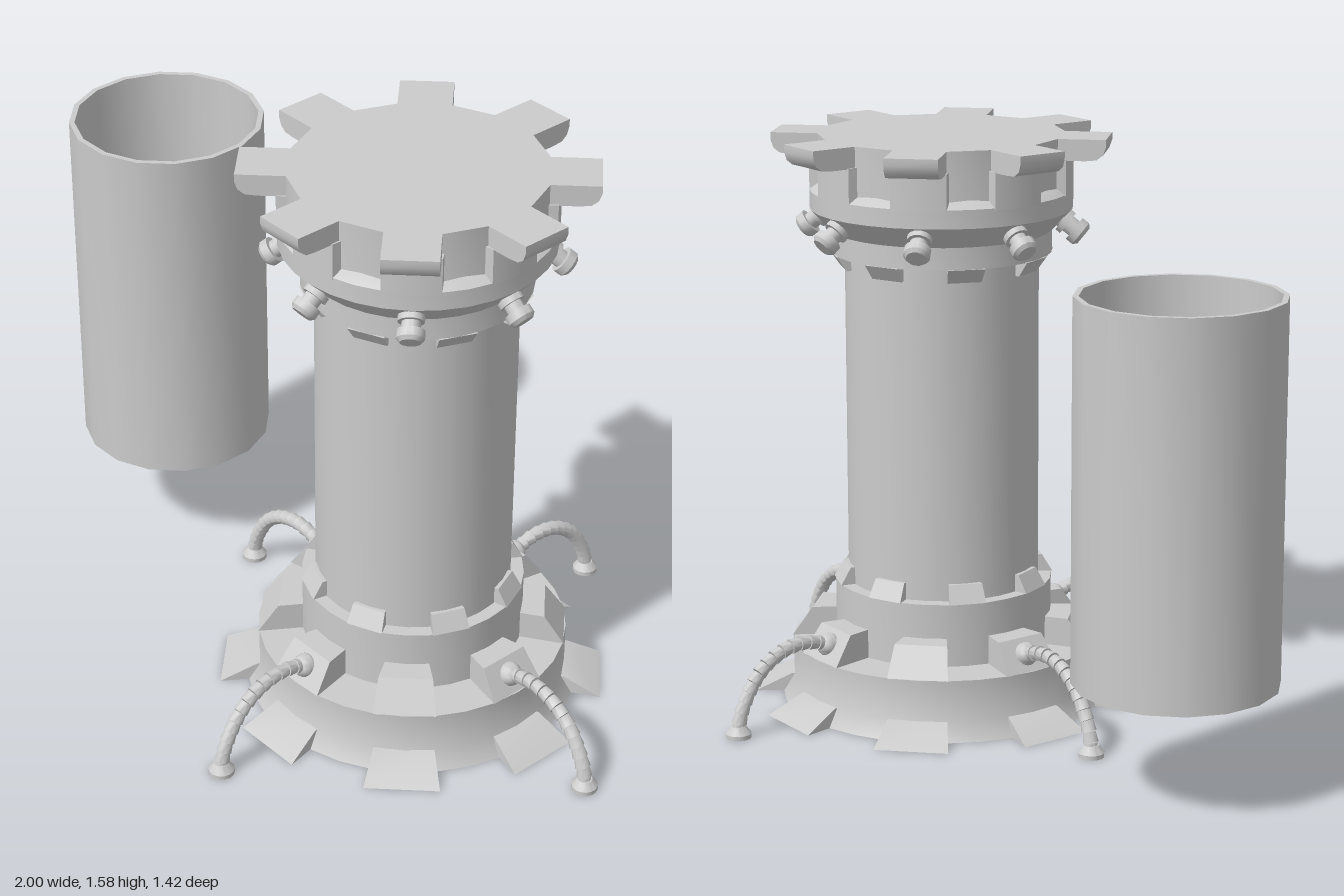
import * as THREE from 'three';
import { toCreasedNormals } from 'three/addons/utils/BufferGeometryUtils.js';

const material = new THREE.MeshStandardMaterial({ color: 0xcccccc });

function addMesh(parent, name, geometry) {
  const mesh = new THREE.Mesh(toCreasedNormals(geometry, Math.PI / 5), material);
  mesh.name = name;
  parent.add(mesh);
  return mesh;
}

const points = (list) => list.map(([x, y]) => new THREE.Vector2(x, y));

// Solid of revolution, profile given from bottom to top as [radius, height]
const turned = (profile, sides = 32, start = 0) =>
  new THREE.LatheGeometry(points(profile), sides, start);

// Radial block: side profile [radius, height], with half width set per radius
function radialBlock(profile, halfWidth) {
  const geo = new THREE.ExtrudeGeometry(new THREE.Shape(points(profile)), { depth: 2, bevelEnabled: false });
  geo.translate(0, 0, -1);
  const pos = geo.attributes.position;
  for (let i = 0; i < pos.count; i++) pos.setZ(i, pos.getZ(i) * halfWidth(pos.getX(i)));
  return geo;
}

// Repeats a geometry around the tower axis
function ring(parent, name, geometry, count = 8, offset = 0) {
  for (let i = 0; i < count; i++) {
    addMesh(parent, name, geometry).rotation.y = ((i + offset) / count) * Math.PI * 2;
  }
}

// Cylinder running between two points
function rod(parent, name, from, to, r0, r1, sides = 12) {
  const dir = to.clone().sub(from);
  const mesh = addMesh(parent, name, new THREE.CylinderGeometry(r1, r0, dir.length(), sides));
  mesh.position.copy(from).addScaledVector(dir, 0.5);
  mesh.quaternion.setFromUnitVectors(new THREE.Vector3(0, 1, 0), dir.normalize());
}

function createHose() {
  const hose = new THREE.Group();
  hose.name = 'hose';
  const curve = new THREE.CatmullRomCurve3(
    [[0.34, 0.19], [0.4, 0.212], [0.47, 0.226], [0.54, 0.213], [0.605, 0.17], [0.65, 0.105], [0.672, 0.05], [0.677, 0.01]]
      .map(([x, y]) => new THREE.Vector3(x, y, 0)));
  // Ribbed segments, each flaring slightly
  const steps = 16;
  for (let i = 0; i < steps; i++) {
    rod(hose, 'hoseSegment', curve.getPointAt(i / steps), curve.getPointAt((i + 1) / steps), 0.017, 0.021);
  }
  const socket = addMesh(hose, 'hoseSocket', new THREE.SphereGeometry(0.033, 14, 10));
  socket.position.set(0.385, 0.205, 0);
  const foot = addMesh(hose, 'hoseFoot', turned([[0, 0], [0.035, 0], [0.035, 0.012], [0.02, 0.032], [0, 0.032]], 14));
  foot.position.x = 0.677;
  return hose;
}

function createBolt() {
  const bolt = new THREE.Group();
  bolt.name = 'bolt';
  const at = (d) => new THREE.Vector3(0.325 + d * 0.78, 1.357 - d * 0.62, 0);
  rod(bolt, 'boltStem', at(-0.02), at(0.05), 0.024, 0.024, 14);
  rod(bolt, 'boltCollar', at(0.01), at(0.026), 0.034, 0.034, 14);
  rod(bolt, 'boltHead', at(0.048), at(0.07), 0.036, 0.036, 14);
  rod(bolt, 'boltCap', at(0.07), at(0.08), 0.036, 0.027, 14);
  return bolt;
}

function createTower() {
  const tower = new THREE.Group();
  tower.name = 'tower';

  // Base drum with sloped skirt teeth and upper blocks
  addMesh(tower, 'baseDrum', turned([[0, 0], [0.45, 0], [0.42, 0.05], [0.42, 0.165], [0, 0.165]]));
  ring(tower, 'skirtTooth', radialBlock([[0.36, 0], [0.52, 0], [0.42, 0.05], [0.36, 0.05]], (r) => 0.195 * r));
  ring(tower, 'baseBlock', radialBlock([[0.27, 0.16], [0.415, 0.165], [0.36, 0.245], [0.27, 0.245]], (r) => 0.2 * r));

  // Column with matching collars at both ends
  addMesh(tower, 'column', turned([[0, 0.16], [0.3, 0.16], [0.3, 0.34], [0.264, 0.34], [0.264, 1.26], [0, 1.26]]));
  const grip = (r) => 0.17 * r;
  ring(tower, 'lowerCollarTooth', radialBlock([[0.25, 0.33], [0.3, 0.34], [0.272, 0.388], [0.25, 0.388]], grip), 8, 0.5);
  ring(tower, 'upperCollarTooth', radialBlock([[0.25, 1.22], [0.272, 1.22], [0.3, 1.26], [0.25, 1.27]], grip), 8, 0.5);

  // Head: ring, chamfer, drum, and the sloped sills of the recesses
  addMesh(tower, 'head', turned([[0, 1.26], [0.3, 1.26], [0.3, 1.32], [0.357, 1.38], [0.357, 1.43], [0.315, 1.46], [0, 1.46]]));
  addMesh(tower, 'headCore', turned([[0, 1.44], [0.335, 1.44], [0.335, 1.58], [0, 1.58]], 16, Math.PI / 16));

  // Curved piers standing between the recesses
  const pier = new THREE.Shape();
  pier.absarc(0, 0, 0.357, -0.21, 0.21, false);
  pier.absarc(0, 0, 0.3, 0.27, -0.27, true);
  const pierGeo = new THREE.ExtrudeGeometry(pier, { depth: 0.1, bevelEnabled: false, curveSegments: 6 });
  pierGeo.rotateX(-Math.PI / 2).translate(0, 1.425, 0);
  ring(tower, 'headPier', pierGeo);

  // Top plate teeth with rounded undersides
  ring(tower, 'plateTooth', radialBlock(
    [[0.28, 1.522], [0.4, 1.522], [0.43, 1.525], [0.447, 1.538], [0.455, 1.56], [0.455, 1.58], [0.28, 1.58]], () => 0.071));

  // Bolts on the chamfer, hoses on every second base block
  for (let i = 0; i < 8; i++) {
    const bolt = createBolt();
    bolt.rotation.y = (i * Math.PI) / 4;
    tower.add(bolt);
    if (i % 2) continue;
    const hose = createHose();
    hose.rotation.y = bolt.rotation.y;
    tower.add(hose);
  }
  return tower;
}

export function createModel() {
  const model = new THREE.Group();
  model.name = 'towerAndSleeve';

  const tower = createTower();
  tower.position.x = 0.287;
  model.add(tower);

  // Thin open sleeve beside the tower
  const sleeve = addMesh(model, 'sleeve', turned(
    [[0.268, 0.305], [0.268, 1.305], [0.253, 1.305], [0.253, 0.305], [0.268, 0.305]], 16, Math.PI / 16));
  sleeve.position.x = -0.735;
  return model;
}
